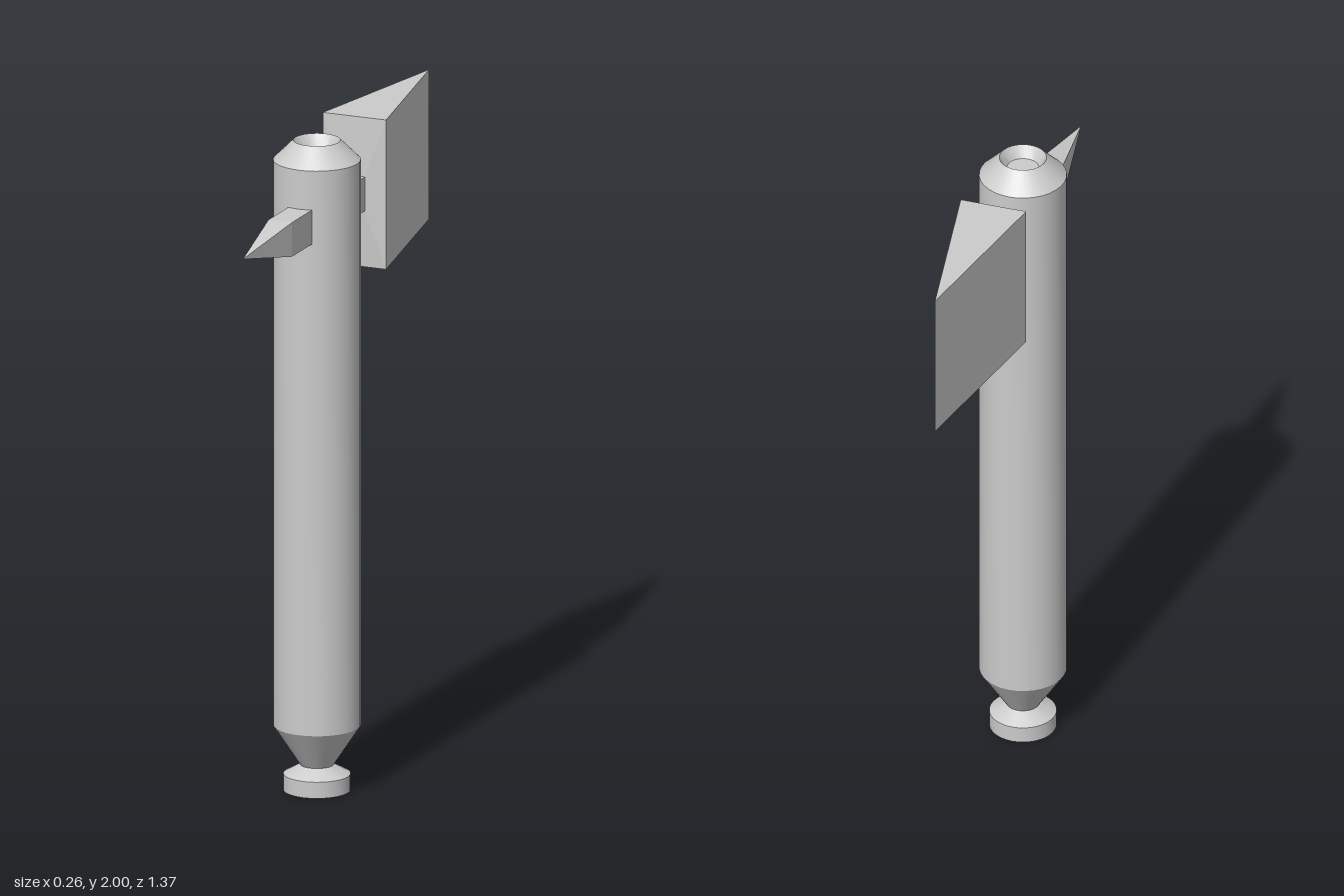
import * as THREE from 'three';
import { toCreasedNormals } from 'three/addons/utils/BufferGeometryUtils.js';

const AXIS_Z = 0.14; // handle axis

// Joins rectangular sections [z, halfWidth, yBottom, yTop], listed front to back
function loft(sections) {
  const rings = sections.map(([z, w, y0, y1]) =>
    [[-w, y0, z], [w, y0, z], [w, y1, z], [-w, y1, z]].map((p) => new THREE.Vector3(...p)));
  const points = [];
  const tri = (...t) => {
    if (new THREE.Triangle(...t).getArea() > 1e-7) points.push(...t);
  };
  for (let s = 0; s < rings.length - 1; s++) {
    const a = rings[s], b = rings[s + 1];
    for (let i = 0; i < 4; i++) {
      const j = (i + 1) % 4;
      tri(a[i], b[i], b[j]);
      tri(a[i], b[j], a[j]);
    }
  }
  const geometry = new THREE.BufferGeometry().setFromPoints(points);
  geometry.computeVertexNormals();
  return geometry;
}

export function createModel() {
  const model = new THREE.Group();
  const material = new THREE.MeshStandardMaterial({ color: 0xcccccc });
  const add = (name, geometry) => {
    const mesh = new THREE.Mesh(geometry, material);
    mesh.name = name;
    model.add(mesh);
    return mesh;
  };

  // Turned handle: pommel, waist, long grip, chamfered cap with a recess
  const profile = [
    [0, 0], [0.1, 0], [0.1, 0.05], [0.05, 0.078], [0.13, 0.2],
    [0.13, 1.94], [0.07, 2], [0.047, 1.965], [0, 1.965],
  ].map(([r, y]) => new THREE.Vector2(r, y));
  const handle = add('handle', toCreasedNormals(new THREE.LatheGeometry(profile, 32), 0.5));
  handle.position.z = AXIS_Z;

  // Square beam through the handle, drawn out to a point at the front
  add('spike', loft([
    [0.685, 0, 1.775, 1.775], [0.41, 0.038, 1.715, 1.82], [AXIS_Z, 0.038, 1.715, 1.82],
  ]));
  add('bladeNeck', loft([[AXIS_Z, 0.038, 1.715, 1.82], [-0.126, 0.038, 1.715, 1.82]]));

  // Wedge blade: shallow shoulder flaring from the neck, tapering to a vertical edge
  add('blade', loft([
    [-0.126, 0.038, 1.715, 1.82], [-0.136, 0.102, 1.54, 2], [-0.685, 0, 1.54, 2],
  ]));

  return model;
}
